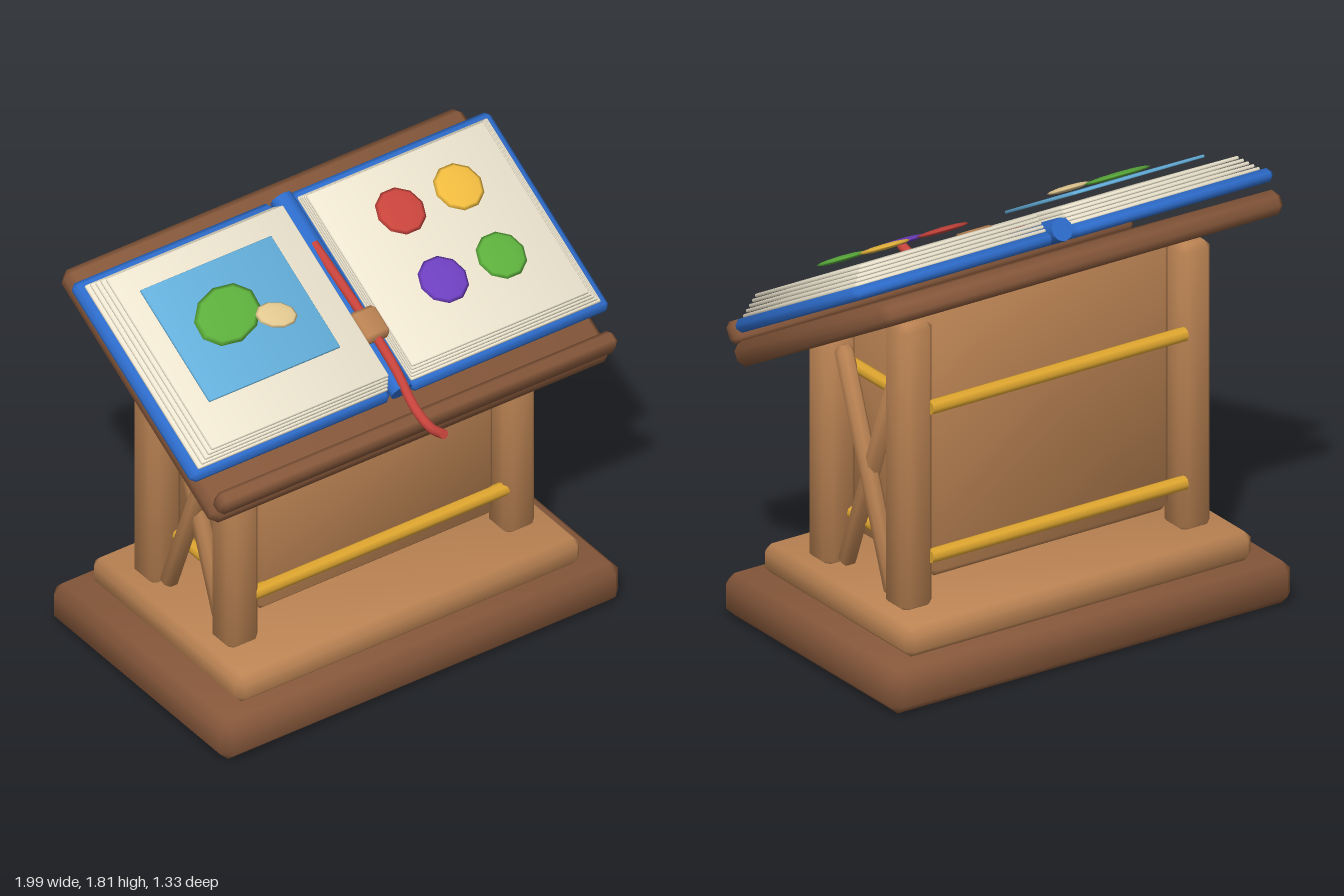
import * as THREE from 'three';

const mat = (color) => new THREE.MeshStandardMaterial({ color });
const M = {
  dark: mat(0x85573a), light: mat(0xbb8353), brass: mat(0xdfa62f), blue: mat(0x2d6ccb),
  paper: mat(0xeee6d0), red: mat(0xc8443c), yellow: mat(0xefba3e), purple: mat(0x6e3fc0),
  green: mat(0x5caf3c), sky: mat(0x64b0dc), sand: mat(0xe2c890),
};
const TILT = 0.503; // slope of the desk

// Box with chamfered edges; corner normals lean outward so the shading runs softly over the bevels
function chamferBox(w, h, d, c) {
  const half = [w / 2, h / 2, d / 2], pos = [], nor = [], idx = [];
  const id = (s, axis) => ((s[0] > 0 ? 4 : 0) + (s[1] > 0 ? 2 : 0) + (s[2] > 0 ? 1 : 0)) * 3 + axis;
  for (const x of [-1, 1]) for (const y of [-1, 1]) for (const z of [-1, 1])
    for (let a = 0; a < 3; a++) {
      [x, y, z].forEach((s, i) => pos.push(s * (i === a ? half[i] : half[i] - c)));
      nor.push(...new THREE.Vector3(x, y, z).multiplyScalar(0.27)
        .setComponent(a, [x, y, z][a] * 0.92).normalize().toArray());
    }
  const P = (i) => new THREE.Vector3().fromArray(pos, i * 3);
  const tri = (a, b, e) => {
    // the box is convex, so each face must point away from the centre
    const n = P(b).sub(P(a)).cross(P(e).sub(P(a)));
    if (n.dot(P(a)) >= 0) idx.push(a, b, e); else idx.push(a, e, b);
  };
  const quad = (a, b, e, f) => { tri(a, b, e); tri(a, e, f); };
  for (let a = 0; a < 3; a++) {
    const b = (a + 1) % 3, e = (a + 2) % 3;
    const S = (sa, sb, se) => { const s = []; s[a] = sa; s[b] = sb; s[e] = se; return s; };
    for (const s of [-1, 1]) {
      quad(id(S(s, -1, -1), a), id(S(s, 1, -1), a), id(S(s, 1, 1), a), id(S(s, -1, 1), a));
      for (const t of [-1, 1]) // bevel running along axis a
        quad(id(S(-1, s, t), b), id(S(1, s, t), b), id(S(1, s, t), e), id(S(-1, s, t), e));
    }
  }
  for (let k = 0; k < 8; k++) tri(k * 3, k * 3 + 1, k * 3 + 2);
  const g = new THREE.BufferGeometry();
  g.setAttribute('position', new THREE.Float32BufferAttribute(pos, 3));
  g.setAttribute('normal', new THREE.Float32BufferAttribute(nor, 3));
  g.setIndex(idx);
  return g;
}

function add(parent, name, geo, material, x = 0, y = 0, z = 0) {
  const m = new THREE.Mesh(geo, material);
  m.name = name;
  m.position.set(x, y, z);
  parent.add(m);
  return m;
}

// Flattened ball lying on the page
function spot(parent, name, material, x, y, z, rx, rz, turn = 0) {
  const m = add(parent, name, new THREE.SphereGeometry(1, 10, 6), material, x, y, z);
  m.scale.set(rx, 0.012, rz);
  m.rotation.y = turn;
}

export function createModel() {
  const root = new THREE.Group();
  root.name = 'bookStand';

  // Stepped base
  add(root, 'lowerBase', chamferBox(1.9, 0.18, 1.2, 0.04), M.dark, 0, 0.09, -0.07);
  add(root, 'upperBase', chamferBox(1.64, 0.125, 1.015, 0.03), M.light, 0, 0.2425, -0.067);

  // Deep body panel between the posts, its top sloped to meet the desk
  const panel = chamferBox(1.14, 1.03, 0.58, 0.032);
  const p = panel.attributes.position;
  for (let i = 0; i < p.count; i++)
    if (p.getY(i) > 0) p.setY(i, p.getY(i) - p.getZ(i) * Math.tan(TILT));
  add(root, 'bodyPanel', panel, M.light, 0, 0.9, -0.08);

  // Posts, cross braces and side rails, mirrored
  for (const side of [-1, 1]) {
    add(root, 'frontPost', chamferBox(0.148, 0.98, 0.15, 0.028), M.light, side * 0.66, 0.78, 0.182);
    add(root, 'backPost', chamferBox(0.148, 1.23, 0.152, 0.028), M.light, side * 0.66, 0.905, -0.343);
    for (const lean of [-1, 1]) {
      const brace = add(root, 'crossBrace', chamferBox(0.07, 1.0, 0.07, 0.02), M.light,
        side * (0.66 + lean * 0.008), 0.775, -0.08);
      brace.rotation.x = lean * 0.36;
    }
    for (const y of [0.51, 1.147])
      add(root, 'sideRail', new THREE.CylinderGeometry(0.027, 0.027, 0.4, 8), M.brass, side * 0.615, y, -0.08)
        .rotation.x = Math.PI / 2;
  }

  // Brass rails across the front and back
  for (const z of [0.22, -0.405]) for (const y of [0.51, 1.147])
    add(root, 'crossRail', new THREE.CylinderGeometry(0.03, 0.03, 1.21, 8), M.brass, 0, y, z)
      .rotation.z = Math.PI / 2;

  // Sloping desk: everything on it is placed in the desk's own frame
  const desk = new THREE.Group();
  desk.name = 'desk';
  desk.position.set(0, 1.415, -0.067);
  desk.rotation.x = TILT;
  root.add(desk);
  add(desk, 'deskBoard', chamferBox(1.9, 0.1, 1.19, 0.03), M.dark, 0, 0, -0.008);
  add(desk, 'ledge', chamferBox(1.89, 0.092, 0.074, 0.02), M.dark, 0, 0.09, 0.558);

  // Open book: cover and stepped page layers on each side
  for (const side of [-1, 1]) {
    const leaf = new THREE.Group();
    leaf.name = side < 0 ? 'rightLeaf' : 'leftLeaf';
    desk.add(leaf);
    add(leaf, 'cover', chamferBox(0.95, 0.055, 0.945, 0.02), M.blue, side * 0.522, 0.109, -0.033);
    for (let i = 0; i < 5; i++) {
      const w = 0.905 - i * 0.015;
      add(leaf, 'pageLayer', chamferBox(w, 0.014, 0.88 - i * 0.015, 0.004), M.paper,
        side * (0.055 + w / 2), 0.142 + i * 0.016, -0.03);
    }
  }
  const spine = add(desk, 'spine', new THREE.CylinderGeometry(0.048, 0.048, 0.93, 10), M.blue, 0, 0.128, -0.033);
  spine.rotation.x = Math.PI / 2;
  add(desk, 'clasp', chamferBox(0.125, 0.06, 0.14, 0.018), M.light, 0, 0.19, 0.148);

  // Illustrations
  add(desk, 'picture', chamferBox(0.625, 0.012, 0.534, 0.003), M.sky, -0.507, 0.248, -0.06);
  spot(desk, 'pictureLeaf', M.green, -0.556, 0.268, -0.09, 0.16, 0.12, 0.35);
  spot(desk, 'picturePebble', M.sand, -0.374, 0.272, -0.01, 0.088, 0.058, -0.4);
  [[0.353, -0.215, 'red'], [0.63, -0.215, 'yellow'], [0.353, 0.114, 'purple'], [0.63, 0.114, 'green']]
    .forEach(([x, z, color]) => spot(desk, color + 'Spot', M[color], x, 0.253, z, 0.105, 0.105));

  // Ribbon bookmark running down the spine and over the ledge
  const path = new THREE.CatmullRomCurve3(
    [[-0.22, 1.68], [0.1, 1.535], [0.33, 1.405], [0.46, 1.295], [0.57, 1.262], [0.66, 1.285]]
      .map(([z, y]) => new THREE.Vector3(0, y, z)));
  add(root, 'ribbon', new THREE.TubeGeometry(path, 24, 0.02, 8), M.red);
  const tip = add(root, 'ribbonTip', new THREE.CircleGeometry(0.02, 8), M.red, 0, 1.285, 0.66);
  tip.rotation.x = -0.25;

  return root;
}
